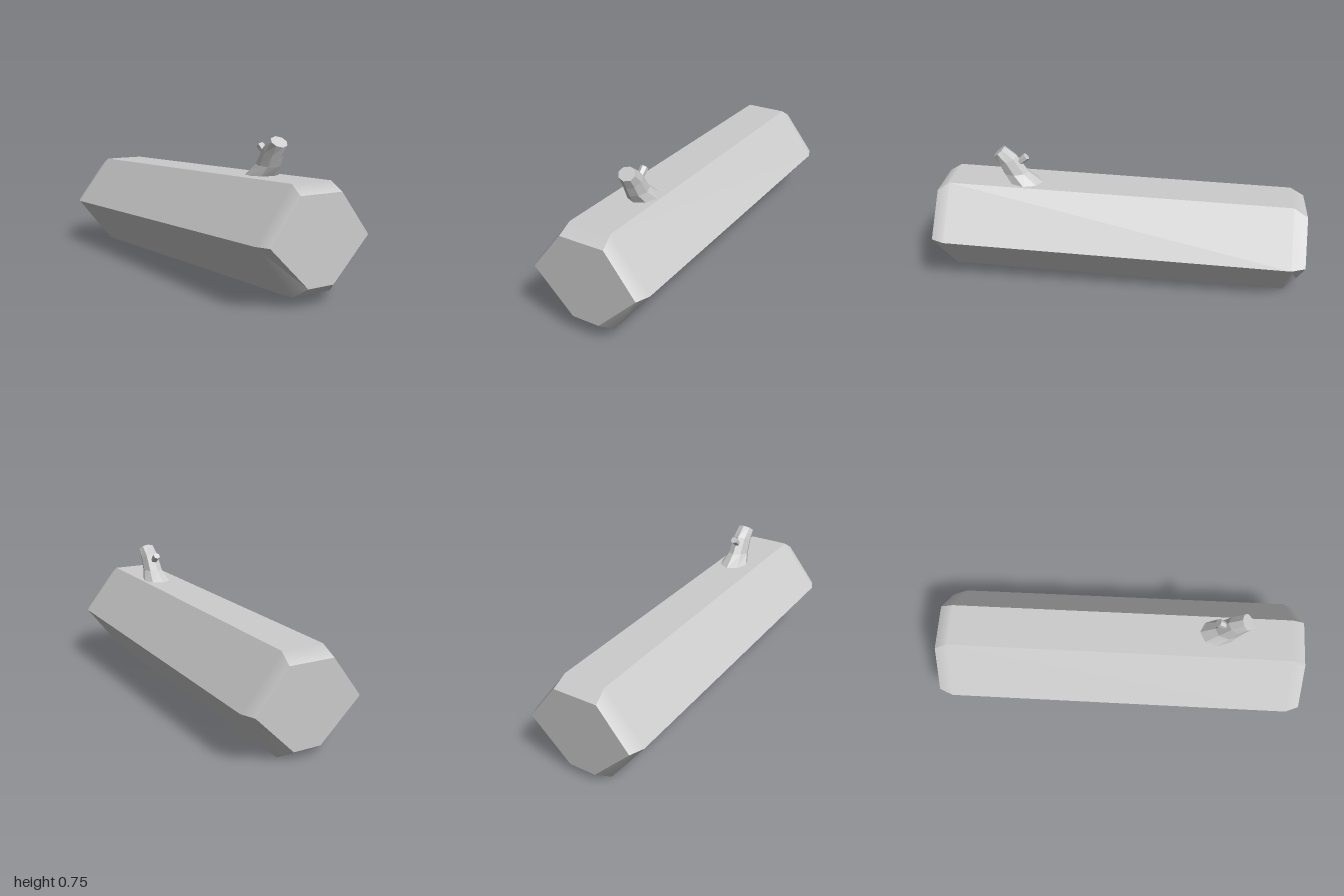
import * as THREE from 'three';

const material = new THREE.MeshStandardMaterial({ color: 0xcccccc });

// Skin a list of equal-sized rings, closing both ends; faceted normals.
function loft(rings) {
  const pos = [];
  const n = rings[0].length;
  const tri = (a, b, c) => pos.push(...a, ...b, ...c);
  for (let j = 0; j < rings.length - 1; j++) {
    for (let i = 0; i < n; i++) {
      const k = (i + 1) % n;
      const a = rings[j][i], b = rings[j][k], c = rings[j + 1][k], d = rings[j + 1][i];
      tri(a, b, c);
      tri(a, c, d);
    }
  }
  const first = rings[0], last = rings[rings.length - 1];
  for (let i = 1; i < n - 1; i++) {
    tri(first[0], first[i + 1], first[i]);
    tri(last[0], last[i], last[i + 1]);
  }
  const geometry = new THREE.BufferGeometry();
  geometry.setAttribute('position', new THREE.Float32BufferAttribute(pos, 3));
  geometry.computeVertexNormals();
  return geometry;
}

// Mirrored hexagon; each corner pair is [half width, y, z].
function hexRing(mid, top, bottom) {
  const right = ([x, y, z]) => [x, y, z];
  const left = ([x, y, z]) => [-x, y, z];
  return [right(mid), right(top), left(top), left(mid), left(bottom), right(bottom)];
}

// Slanted oval ring given its front and back points [y, z] and half width.
function stubRing(front, back, halfWidth, sides = 8) {
  return Array.from({ length: sides }, (_, i) => {
    const angle = (i / sides) * Math.PI * 2;
    const t = (1 + Math.cos(angle)) / 2;
    return [
      0.025 + Math.sin(angle) * halfWidth,
      THREE.MathUtils.lerp(back[0], front[0], t),
      THREE.MathUtils.lerp(back[1], front[1], t),
    ];
  });
}

// Blend the bevels softly into the long sides, keeping the underside crisp.
function softenBevels(geometry, sides, crispSide) {
  const normal = geometry.attributes.normal;
  const copy = (from, to) => normal.setXYZ(to, normal.getX(from), normal.getY(from), normal.getZ(from));
  for (let i = 0; i < sides; i++) {
    if (i === crispSide) continue;
    const back = i * 6, side = (sides + i) * 6, front = (2 * sides + i) * 6;
    [2, 4, 5].forEach((v) => copy(side, back + v));
    [0, 1, 3].forEach((v) => copy(side, front + v));
  }
}

export function createModel() {
  const model = new THREE.Group();
  const add = (name, geometry) => {
    const mesh = new THREE.Mesh(geometry, material);
    mesh.name = name;
    model.add(mesh);
    return mesh;
  };

  // Hexagonal trunk with bevelled ends, slightly raised at the front
  const trunk = loft([
    hexRing([0.29, 0.26, -0.995], [0.123, 0.472, -1.0], [0.075, 0.05, -0.99]),
    hexRing([0.32, 0.26, -0.92], [0.115, 0.52, -0.925], [0.115, 0.003, -0.915]),
    hexRing([0.32, 0.31, 0.925], [0.115, 0.568, 0.92], [0.115, 0.052, 0.935]),
    hexRing([0.29, 0.31, 0.995], [0.123, 0.523, 0.99], [0.075, 0.1, 1.0]),
  ]);
  softenBevels(trunk, 6, 4);
  add('logTrunk', trunk);

  // Broken branch flaring out at its foot
  add('branchStub', loft([
    stubRing([0.55, 0.607], [0.55, 0.42], 0.08),
    stubRing([0.605, 0.64], [0.615, 0.5], 0.054),
    stubRing([0.655, 0.662], [0.705, 0.558], 0.05),
    stubRing([0.704, 0.684], [0.755, 0.624], 0.047),
  ]));

  // Small twig on the back of the branch
  const start = new THREE.Vector3(0.025, 0.645, 0.575);
  const end = new THREE.Vector3(0.025, 0.704, 0.507);
  const axis = end.clone().sub(start);
  const twig = add('twig', new THREE.CylinderGeometry(0.021, 0.016, axis.length(), 6).toNonIndexed());
  twig.geometry.computeVertexNormals();
  twig.position.copy(start).add(end).multiplyScalar(0.5);
  twig.quaternion.setFromUnitVectors(new THREE.Vector3(0, 1, 0), axis.normalize());

  return model;
}
